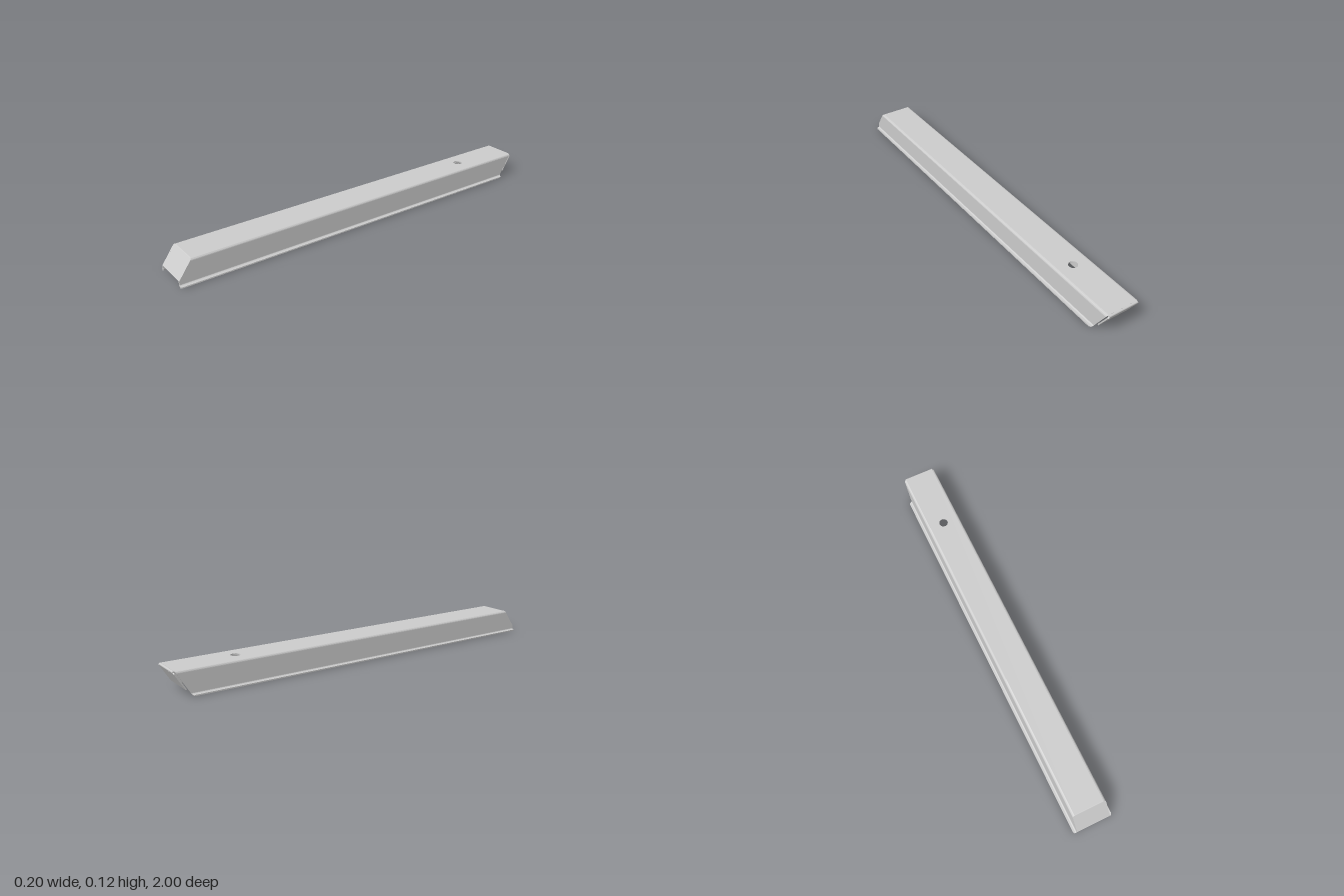
import * as THREE from 'three';
import { toCreasedNormals } from 'three/addons/utils/BufferGeometryUtils.js';

const T = 0.006;      // sheet thickness
const WALL = 0.085;   // outer face of the side walls
const TOP = 0.118;    // height of the top face
const HOLE_Y = 0.067;
const SIDE_HOLES = [0.435, -0.745];

const material = new THREE.MeshStandardMaterial({ color: 0xcccccc, side: THREE.DoubleSide });

// Slanted ends of the channel, with rounded flange corners
const corner = (x) => 100 * Math.max(0, x - 0.091) ** 2;
const frontZ = (x, y) => 1 - 0.72 * Math.max(0, y - 0.028) - corner(x);
const backZ = (x, y) => -0.92 - 0.61 * y + corner(x);

function part(name, geometry, parent) {
  const mesh = new THREE.Mesh(geometry, material);
  mesh.name = name;
  parent.add(mesh);
  return mesh;
}

function plate(shape, depth = T) {
  return new THREE.ExtrudeGeometry(shape, { depth, bevelEnabled: false, curveSegments: 24 });
}

function circleHole(x, y, r) {
  return new THREE.Path().absarc(x, y, r, 0, Math.PI * 2, true);
}

// Run a cross-section the full length, trimmed to the slanted ends
function runLengthwise(shape) {
  const g = new THREE.ExtrudeGeometry(shape, { depth: 1, bevelEnabled: false, curveSegments: 8 });
  const p = g.attributes.position;
  for (let i = 0; i < p.count; i++) {
    const x = p.getX(i), y = p.getY(i);
    p.setZ(i, THREE.MathUtils.lerp(backZ(x, y), frontZ(x, y), p.getZ(i)));
  }
  return toCreasedNormals(g, 0.6);
}

function buildSide() {
  const side = new THREE.Group();

  // Flat wall with two holes
  const lo = 0.012, hi = 0.107;
  const wall = new THREE.Shape([
    [backZ(0, lo), lo], [frontZ(0, lo), lo], [1, 0.028], [frontZ(0, hi), hi], [backZ(0, hi), hi],
  ].map(([z, y]) => new THREE.Vector2(z, y)));
  SIDE_HOLES.forEach((z) => wall.holes.push(circleHole(z, HOLE_Y, 0.024)));
  part('sideWall', plate(wall).rotateY(-Math.PI / 2).translate(WALL, 0, 0), side);

  // Countersunk rims sunk into the wall
  for (const z of SIDE_HOLES) {
    const rim = new THREE.LatheGeometry([
      new THREE.Vector2(0.024, WALL - T), new THREE.Vector2(0.014, WALL - T - 0.003),
      new THREE.Vector2(0.014, WALL - T), new THREE.Vector2(0.024, WALL),
    ], 32).rotateZ(-Math.PI / 2).translate(0, HOLE_Y, z);
    part('countersunkHole', toCreasedNormals(rim, 0.5), side);
  }

  // Rounded upper bend
  const bend = new THREE.Shape();
  bend.absarc(0.074, hi, 0.011, 0, Math.PI / 2, false);
  bend.absarc(0.074, hi, 0.005, Math.PI / 2, 0, true);
  part('topBend', runLengthwise(bend), side);

  // Lower bend turning out into the flange
  const flange = new THREE.Shape();
  flange.absarc(0.091, 0.012, 0.012, Math.PI, Math.PI * 1.5, false);
  for (const x of [0.094, 0.097, 0.099, 0.1]) flange.lineTo(x, 0);
  for (const x of [0.1, 0.099, 0.097, 0.094]) flange.lineTo(x, T);
  flange.absarc(0.091, 0.012, 0.006, Math.PI * 1.5, Math.PI, true);
  part('flange', runLengthwise(flange), side);
  return side;
}

// Slanted end flap hanging from a rounded bend; dir is +1 front, -1 back
function buildFlap(bendZ, tilt, dir) {
  const flap = new THREE.Group();
  const bendY = TOP - T;
  const roll = new THREE.CylinderGeometry(T, T, 0.152, 20).rotateZ(Math.PI / 2);
  part('endBend', roll.translate(0, bendY, bendZ), flap);

  const startY = bendY - dir * Math.sin(tilt) * T;
  const length = (startY - 0.028) / Math.cos(tilt);
  const s = new THREE.Shape();
  s.moveTo(-0.083, -length);
  s.lineTo(0.083, -length);
  s.lineTo(0.083, -0.008);
  s.quadraticCurveTo(0.083, 0, 0.076, 0);
  s.lineTo(-0.076, 0);
  s.quadraticCurveTo(-0.083, 0, -0.083, -0.008);
  const panel = part('endPanel', plate(s).translate(0, 0, dir > 0 ? -T : 0), flap);
  panel.rotation.x = tilt;
  panel.position.set(0, startY, bendZ + dir * Math.cos(tilt) * T);
  return flap;
}

export function createModel() {
  const model = new THREE.Group();
  model.name = 'channelBracket';

  // Top plate with one round hole
  const top = new THREE.Shape([
    [-0.074, -0.992], [0.074, -0.992], [0.074, 0.932], [-0.074, 0.932],
  ].map(([x, z]) => new THREE.Vector2(x, z)));
  top.holes.push(circleHole(0, -0.675, 0.022));
  part('topPlate', plate(top).rotateX(Math.PI / 2).translate(0, TOP, 0), model);

  // Mirrored sides
  for (const sx of [1, -1]) {
    const side = buildSide();
    side.name = sx > 0 ? 'leftSide' : 'rightSide';
    side.scale.x = sx;
    model.add(side);
  }

  // End flaps
  const front = buildFlap(0.932, -0.626, 1);
  front.name = 'frontFlap';
  const back = buildFlap(-0.994, -0.559, -1);
  back.name = 'backFlap';
  model.add(front, back);
  return model;
}
